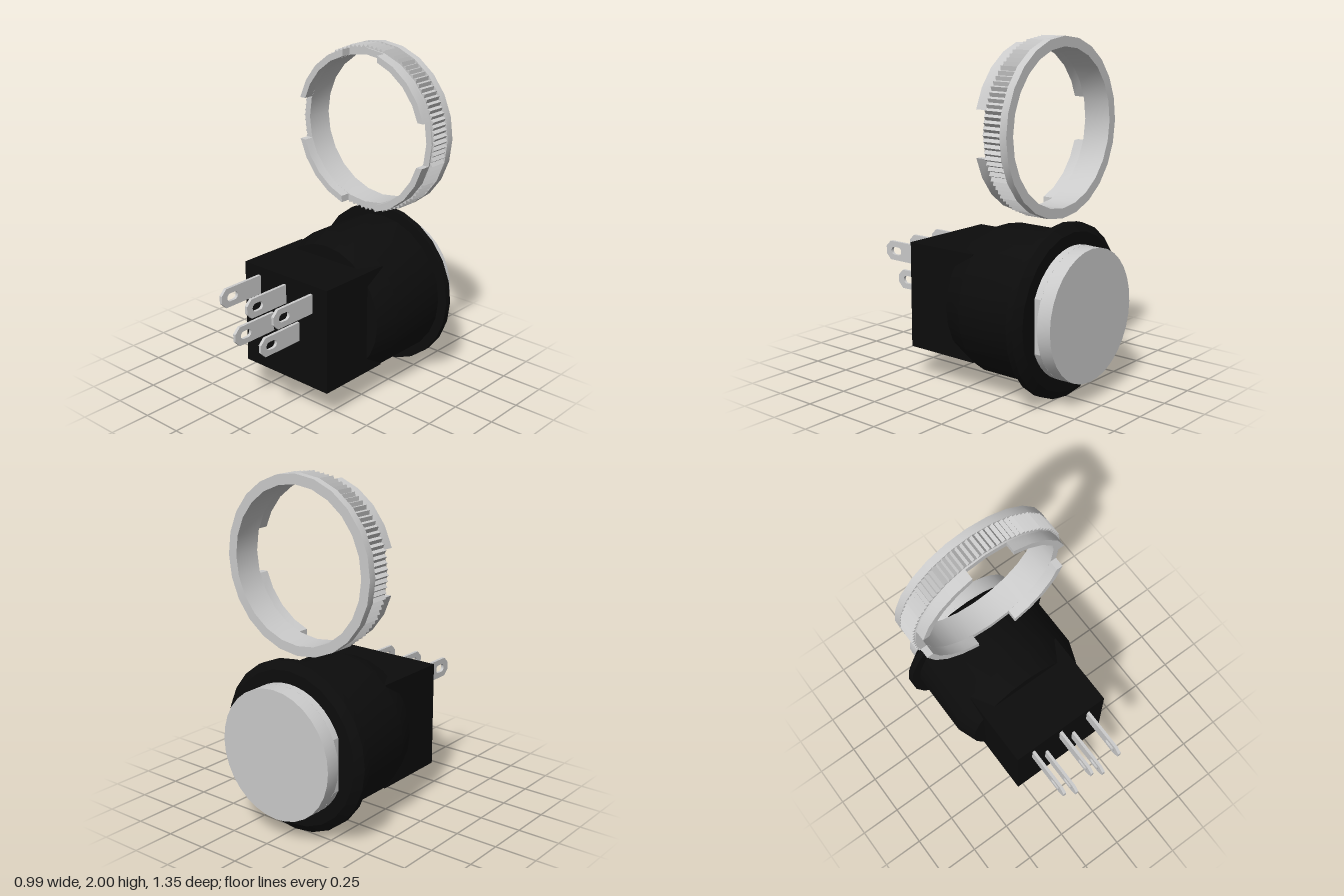
import * as THREE from 'three';
import { toCreasedNormals } from 'three/addons/utils/BufferGeometryUtils.js';

const SIDES = 24;
const BODY_Y = 0.498, RING_Y = 1.507;
const grey = new THREE.MeshStandardMaterial({ color: 0xcccccc });
const black = new THREE.MeshStandardMaterial({ color: 0x0c0c0c });

function add(parent, name, geometry, material, x = 0, y = 0, z = 0) {
  const mesh = new THREE.Mesh(geometry, material);
  mesh.name = name;
  mesh.position.set(x, y, z);
  parent.add(mesh);
  return mesh;
}

// Turned part around the z axis; profile points are [radius, z] with z rising on the outside
function turned(profile, sides = SIDES) {
  const g = new THREE.LatheGeometry(profile.map(([r, z]) => new THREE.Vector2(r, z)), sides);
  g.rotateX(Math.PI / 2);
  return toCreasedNormals(g, 0.35);
}

// Flat outline extruded from z0 to z1
function slab(shape, z0, z1) {
  const g = new THREE.ExtrudeGeometry(shape, { depth: z1 - z0, bevelEnabled: false, curveSegments: 8 });
  g.translate(0, 0, z0);
  return toCreasedNormals(g, 0.35);
}

const polar = (r, deg) => new THREE.Vector2(
  r * Math.cos(THREE.MathUtils.degToRad(deg)), r * Math.sin(THREE.MathUtils.degToRad(deg)));

function createSwitch() {
  const body = new THREE.Group();
  body.name = 'switchBody';
  body.position.y = BODY_Y;

  // Bevelled flange, round barrel and square rear housing
  add(body, 'flange', turned([[0, -0.55], [0.45, -0.55], [0.496, -0.515], [0.496, -0.475], [0, -0.475]]), black);
  add(body, 'barrel', turned([[0, -0.48], [0.437, -0.48], [0.437, -0.095], [0.39, 0.035], [0, 0.035]]), black);
  add(body, 'housing', new THREE.BoxGeometry(0.628, 0.625, 0.47), black, 0, 0, 0.14);

  // Push button cap on a stem with two flat sides
  add(body, 'buttonCap', turned([[0, -0.675], [0.377, -0.675], [0.377, -0.59], [0, -0.59]], 32), grey);
  const flat = Math.acos(0.345 / 0.377);
  const stem = new THREE.Shape();
  stem.absarc(0, 0, 0.377, flat, Math.PI - flat, false);
  stem.absarc(0, 0, 0.377, Math.PI + flat, 2 * Math.PI - flat, false);
  stem.closePath();
  add(body, 'buttonStem', slab(stem, -0.592, -0.54), grey);

  // Terminal blade: outline in (z, y), chamfered tip and a rounded slot
  const h = 0.057, c = 0.034, tip = 0.677;
  const blade = new THREE.Shape([
    [0.36, -h], [tip - c, -h], [tip, -h + c], [tip, h - c], [tip - c, h], [0.36, h],
  ].map(([z, y]) => new THREE.Vector2(z, y)));
  const slot = new THREE.Path();
  slot.absarc(0.612, 0, 0.024, -Math.PI / 2, Math.PI / 2, false);
  slot.absarc(0.58, 0, 0.024, Math.PI / 2, Math.PI * 1.5, false);
  slot.closePath();
  blade.holes.push(slot);
  const bladeGeo = slab(blade, -0.009, 0.009);
  bladeGeo.rotateY(-Math.PI / 2);
  for (const [x, y] of [[-0.2, 0.703], [0, 0.703], [0.2, 0.703], [-0.1, 0.503], [0.1, 0.503]]) {
    add(body, 'terminal', bladeGeo, grey, x, y - BODY_Y, 0);
  }
  return body;
}

function createRing() {
  const ring = new THREE.Group();
  ring.name = 'lockingRing';
  ring.position.y = RING_Y;

  // Plain lip and collar
  add(ring, 'ringBand', turned([
    [0.437, -0.475], [0.493, -0.475], [0.493, -0.43], [0.475, -0.43],
    [0.475, -0.308], [0.437, -0.308], [0.437, -0.475],
  ]), grey);

  // Knurled grip: triangular teeth set along each facet of the band
  const teethPerFacet = 4, teeth = [];
  for (let f = 0; f < SIDES; f++) {
    const a = polar(1, f * 15), b = polar(1, (f + 1) * 15);
    for (let t = 0; t < teethPerFacet; t++) {
      teeth.push(a.clone().lerp(b, t / teethPerFacet).multiplyScalar(0.493));
      teeth.push(a.clone().lerp(b, (t + 0.5) / teethPerFacet).multiplyScalar(0.476));
    }
  }
  const knurl = new THREE.Shape(teeth);
  knurl.holes.push(new THREE.Path(Array.from({ length: SIDES }, (_, i) => polar(0.455, -i * 15))));
  add(ring, 'knurledGrip', slab(knurl, -0.431, -0.318), grey);

  // Four castellations separated by parallel-sided notches
  const tab = new THREE.Shape([
    ...[15.5, 30, 45, 60, 74.5].map((d) => polar(0.475, d)),
    ...[73, 60, 45, 30, 17].map((d) => polar(0.437, d)),
  ]);
  const tabGeo = slab(tab, -0.31, -0.247);
  for (let i = 0; i < 4; i++) {
    add(ring, 'ringTab', tabGeo, grey).rotation.z = i * Math.PI / 2;
  }
  return ring;
}

export function createModel() {
  const model = new THREE.Group();
  model.name = 'pushButtonSwitch';
  model.add(createSwitch(), createRing());
  return model;
}
